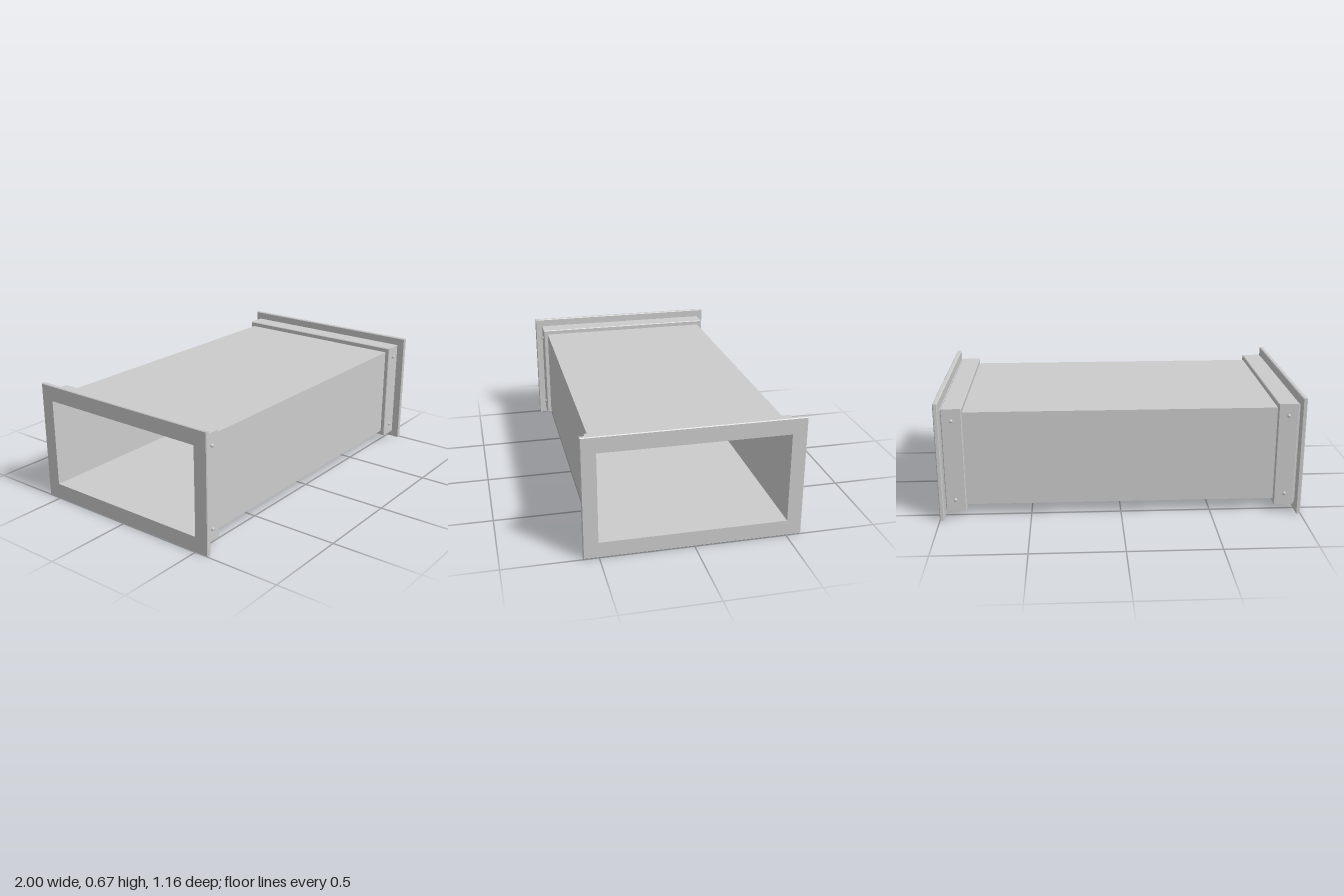
import * as THREE from 'three';

const MID_Y = 0.336;
const grey = new THREE.MeshStandardMaterial({ color: 0xcccccc });

// Rectangular ring along x: a closed profile of [x, half height, half depth],
// listed with x rising on the outside and falling on the inside.
function rectRing(profile) {
  const corners = [[1, 1], [1, -1], [-1, -1], [-1, 1]];
  const pos = [];
  const point = (i, k) => {
    const [x, h, d] = profile[i % profile.length];
    const [sy, sz] = corners[k % 4];
    return [x, sy * h, sz * d];
  };
  for (let i = 0; i < profile.length; i++) {
    for (let k = 0; k < 4; k++) {
      const a = point(i, k), b = point(i, k + 1);
      const c = point(i + 1, k + 1), d = point(i + 1, k);
      pos.push(...a, ...d, ...c, ...a, ...c, ...b);
    }
  }
  const geo = new THREE.BufferGeometry();
  geo.setAttribute('position', new THREE.Float32BufferAttribute(pos, 3));
  geo.computeVertexNormals();
  return geo;
}

function addMesh(parent, name, geometry) {
  const mesh = new THREE.Mesh(geometry, grey);
  mesh.name = name;
  parent.add(mesh);
  return mesh;
}

// One end fitting: collar, narrow groove and wide flange, with four rivets
function makeEnd(name) {
  const end = new THREE.Group();
  end.name = name;

  addMesh(end, 'collar', rectRing([
    [0.855, 0.267, 0.516], [0.855, 0.290, 0.537],
    [0.859, 0.294, 0.541], [0.963, 0.294, 0.541],
    [0.967, 0.290, 0.537], [0.967, 0.284, 0.531],
    [0.975, 0.284, 0.531], [0.975, 0.267, 0.516],
  ]));

  addMesh(end, 'flange', rectRing([
    [0.975, 0.248, 0.502], [0.975, 0.332, 0.578],
    [0.979, 0.336, 0.582], [0.996, 0.336, 0.582],
    [1, 0.332, 0.578], [1, 0.248, 0.502],
  ]));

  // Rivet heads on the front and back faces of the collar
  const head = new THREE.LatheGeometry([
    [0.010, -0.004], [0.010, 0.006], [0.0075, 0.010], [0, 0.012],
  ].map(([r, y]) => new THREE.Vector2(r, y)), 16);
  for (const sz of [1, -1]) {
    for (const sy of [1, -1]) {
      const rivet = addMesh(end, 'rivet', head);
      rivet.rotation.x = sz * Math.PI / 2;
      rivet.position.set(0.912, sy * 0.228, sz * 0.541);
    }
  }
  return end;
}

export function createModel() {
  const model = new THREE.Group();
  model.name = 'flangedDuct';

  const body = new THREE.Group();
  body.name = 'ductAssembly';
  body.position.y = MID_Y;
  model.add(body);

  // Straight hollow duct
  addMesh(body, 'duct', rectRing([
    [-0.975, 0.267, 0.516], [0.975, 0.267, 0.516],
    [0.975, 0.248, 0.502], [-0.975, 0.248, 0.502],
  ]));

  // Matching fittings at both ends
  const leftEnd = makeEnd('leftEnd');
  const rightEnd = makeEnd('rightEnd');
  rightEnd.rotation.y = Math.PI;
  body.add(leftEnd, rightEnd);

  return model;
}
